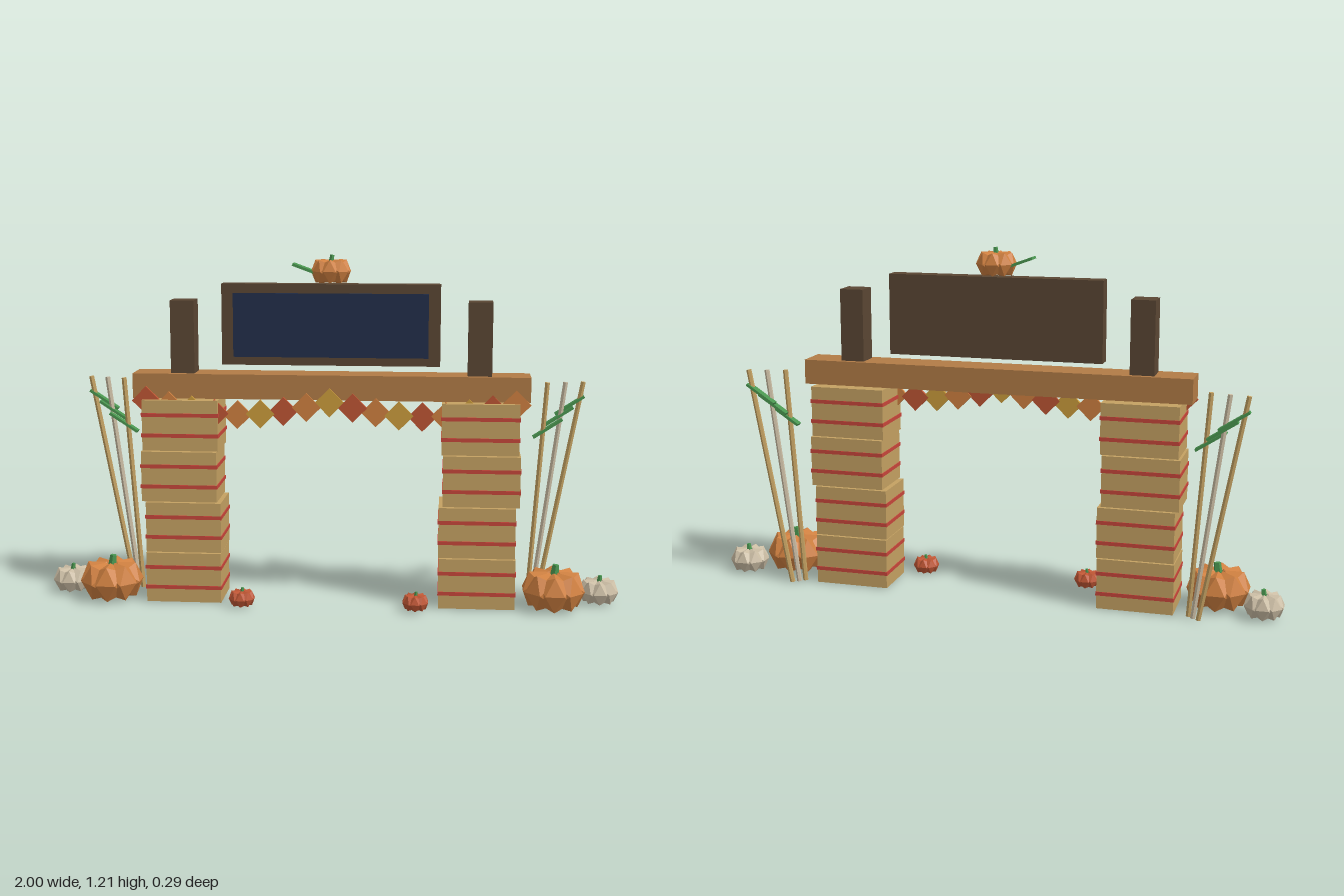
import * as THREE from 'three';

function mat(name, color) {
  const m = new THREE.MeshStandardMaterial({ color });
  m.name = name;
  m.flatShading = true;
  return m;
}

export function createModel() {
  const straw = mat('straw', 0xc4a162);
  const strapRed = mat('strap red', 0xc7463a);
  const beamWood = mat('beam wood', 0xb27c46);
  const darkWood = mat('dark wood', 0x5a4633);
  const navy = mat('navy panel', 0x222e4a);
  const orange = mat('orange', 0xcf8040);
  const cream = mat('cream', 0xcbbda4);
  const rust = mat('rust', 0xbd5533);
  const green = mat('green', 0x4a9650);
  const gold = mat('gold', 0xcb9c3c);

  const root = new THREE.Group();
  root.name = 'harvestArch';

  function add(parent, name, geo, material, x, y, z) {
    const m = new THREE.Mesh(geo, material);
    m.name = name;
    m.position.set(x, y, z);
    parent.add(m);
    return m;
  }
  const box = (parent, name, material, w, h, d, x, y, z) =>
    add(parent, name, new THREE.BoxGeometry(w, h, d), material, x, y, z);

  // Thin pole between two points
  function pole(parent, material, a, b, r) {
    const dir = b.clone().sub(a);
    const mid = a.clone().add(b).multiplyScalar(0.5);
    const m = add(parent, 'pole', new THREE.CylinderGeometry(r, r, dir.length(), 6), material, mid.x, mid.y, mid.z);
    m.quaternion.setFromUnitVectors(new THREE.Vector3(0, 1, 0), dir.normalize());
  }

  // Pumpkin: ring of faceted lobes and a short stem, R = outer radius
  function pumpkin(name, material, R, x, y, z) {
    const g = new THREE.Group();
    g.name = name;
    g.position.set(x, y, z);
    const lobes = 8;
    for (let i = 0; i < lobes; i++) {
      const a = (i / lobes) * Math.PI * 2;
      const lobe = add(g, 'lobe', new THREE.IcosahedronGeometry(R * 0.6, 0), material,
        Math.cos(a) * R * 0.49, 0, Math.sin(a) * R * 0.49);
      lobe.scale.y = 1.14;
      lobe.rotation.y = -a;
    }
    add(g, 'stem', new THREE.CylinderGeometry(R * 0.11, R * 0.15, R * 0.4, 5), green, R * 0.04, R * 0.63, 0)
      .rotation.z = -0.12;
    root.add(g);
  }

  // Stacked bales with two straps each
  const shift = [0.508, 0.506, 0.519, 0.513];
  for (const s of [-1, 1]) {
    const column = new THREE.Group();
    column.name = s > 0 ? 'leftBaleColumn' : 'rightBaleColumn';
    root.add(column);
    shift.forEach((cx, i) => {
      const y0 = i * 0.179;
      box(column, 'bale', straw, 0.262, 0.175, 0.184, s * cx, y0 + 0.0875, -0.017);
      for (const dy of [0.053, 0.124]) {
        box(column, 'strap', strapRed, 0.267, 0.013, 0.189, s * cx, y0 + dy, -0.017);
      }
    });
  }

  // Beam, posts and sign
  box(root, 'beam', beamWood, 1.36, 0.085, 0.118, 0, 0.7575, -0.016);
  for (const s of [-1, 1]) box(root, 'post', darkWood, 0.082, 0.25, 0.082, s * 0.508, 0.925, -0.016);
  box(root, 'signFrame', darkWood, 0.746, 0.277, 0.057, 0, 0.9685, -0.0165);
  box(root, 'signPanel', navy, 0.666, 0.218, 0.008, 0, 0.967, 0.0145);

  // Garland of diamond leaves
  const leafColours = [rust, orange, gold];
  for (let i = 0; i <= 16; i++) {
    const t = (i - 8) / 8;
    const y = 0.708 - 0.045 * Math.abs(Math.sin(t * Math.PI));
    box(root, 'garlandLeaf', leafColours[i % 3], 0.07, 0.07, 0.01, t * 0.632, y, 0.05 + (i % 2) * 0.002)
      .rotation.z = Math.PI / 4;
  }

  // Leaning stalks with leaves, per side: foot x, top x, z, material, leaf x, leaf y
  const stalks = [
    [0.727, 0.868, -0.131, straw, 0.823, 0.682],
    [0.707, 0.806, -0.116, cream, 0.785, 0.645],
    [0.69, 0.743, -0.1, straw, 0.747, 0.605],
  ];
  for (const s of [-1, 1]) {
    const bundle = new THREE.Group();
    bundle.name = s > 0 ? 'leftStalks' : 'rightStalks';
    root.add(bundle);
    for (const [x0, x1, z, m, lx, ly] of stalks) {
      pole(bundle, m, new THREE.Vector3(s * x0, 0, z), new THREE.Vector3(s * x1, 0.765, z), 0.009);
      box(bundle, 'stalkLeaf', green, 0.118, 0.009, 0.028, s * lx, ly, z - 0.002).rotation.z = s * 0.58;
    }
  }

  // Pumpkins on the ground and on the sign
  for (const s of [-1, 1]) {
    pumpkin('largePumpkin', orange, 0.105, s * 0.772, 0.066, 0.032);
    pumpkin('palePumpkin', cream, 0.066, s * 0.934, 0.043, -0.043);
    pumpkin('smallPumpkin', rust, 0.044, s * 0.3, 0.029, 0.103);
  }
  pumpkin('topPumpkin', orange, 0.066, 0, 1.15, -0.015);
  box(root, 'topLeaf', green, 0.085, 0.009, 0.055, -0.09, 1.158, -0.018).rotation.z = -0.35;

  return root;
}
